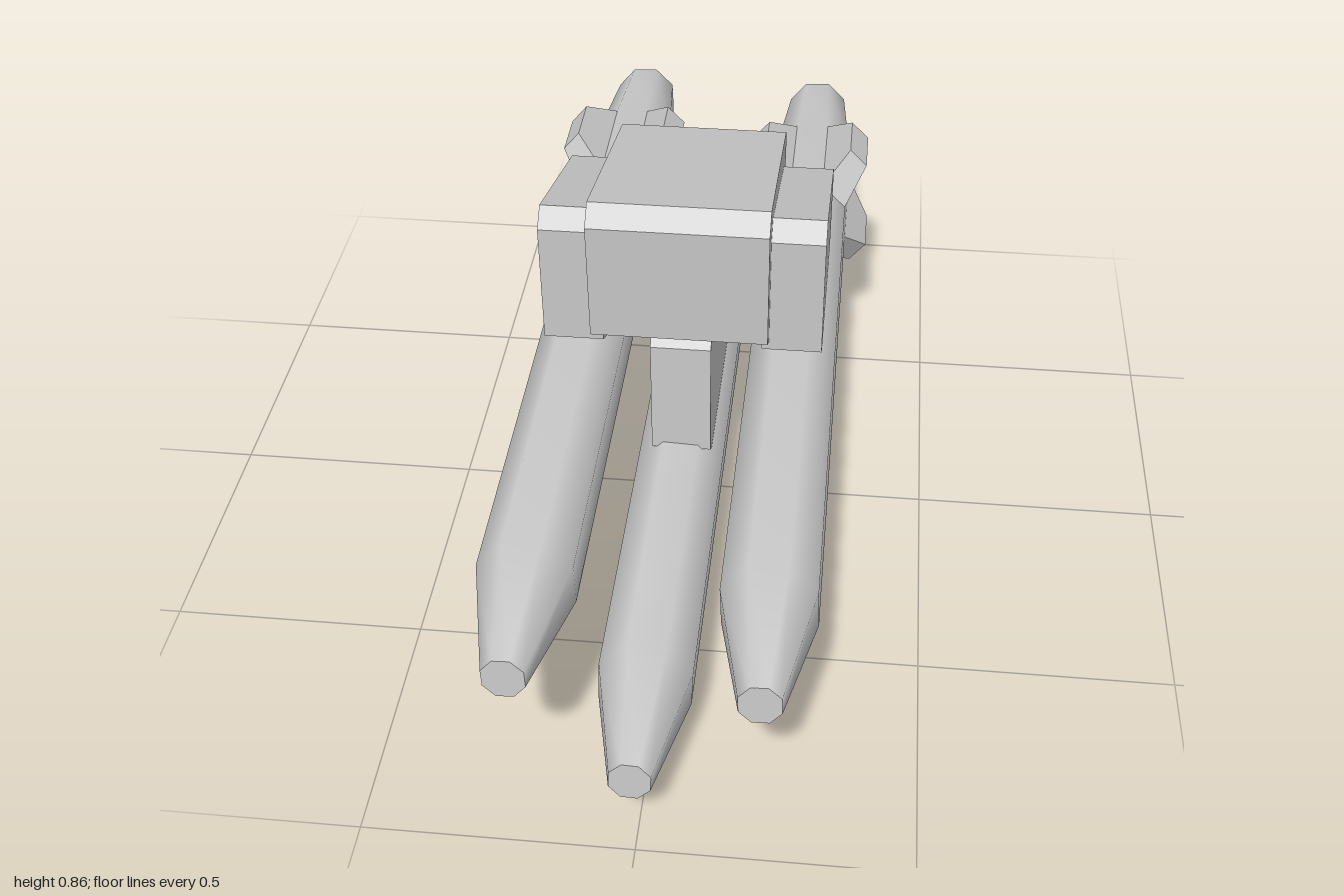
import * as THREE from 'three';
import { toCreasedNormals } from 'three/addons/utils/BufferGeometryUtils.js';

const grey = new THREE.MeshStandardMaterial({ color: 0xcccccc });

function mesh(name, geometry) {
  const m = new THREE.Mesh(geometry, grey);
  m.name = name;
  return m;
}

// Side profile given as [z, y] points, extruded across x
function slab(name, profile, width, x) {
  const shape = new THREE.Shape(profile.map(([z, y]) => new THREE.Vector2(z, y)));
  const g = new THREE.ExtrudeGeometry(shape, { depth: width, bevelEnabled: false });
  g.translate(0, 0, -width / 2).rotateY(-Math.PI / 2).translate(x, 0, 0);
  return mesh(name, g);
}

// Eight-sided tube, tapered at nose and tail, axis along z
function tubeGeometry() {
  const r = 0.104;
  const profile = [[0, -1], [r * 0.76, -1], [r, -0.755], [r, 0.77], [r * 0.43, 1], [0, 1]]
    .map(([x, y]) => new THREE.Vector2(x, y));
  const g = new THREE.LatheGeometry(profile, 8, Math.PI / 8);
  return toCreasedNormals(g.rotateX(Math.PI / 2), 0.95);
}

// Fin pointing up: a box whose outer end is narrowed
function finGeometry() {
  const g = new THREE.BoxGeometry(0.08, 0.09, 0.278);
  const p = g.attributes.position;
  for (let i = 0; i < p.count; i++) {
    if (p.getY(i) > 0) {
      p.setX(i, p.getX(i) * 0.72);
      p.setZ(i, p.getZ(i) * 0.45);
    }
  }
  g.translate(0, 0.135, -0.615);
  g.computeVertexNormals();
  return g;
}

// Tube with four fins; firstFin and roll are in degrees
function missile(name, x, y, firstFin, roll) {
  const outer = new THREE.Group();
  outer.name = name;
  outer.position.set(x, y, 0);
  outer.scale.x = 0.9;
  const inner = new THREE.Group();
  inner.rotation.z = THREE.MathUtils.degToRad(roll);
  inner.add(mesh('tube', tubeGeometry()));
  for (let i = 0; i < 4; i++) {
    const fin = mesh('fin', finGeometry());
    fin.rotation.z = THREE.MathUtils.degToRad(firstFin + i * 90);
    inner.add(fin);
  }
  outer.add(inner);
  return outer;
}

export function createModel() {
  const model = new THREE.Group();
  model.name = 'missileRack';

  // Central housing with a sloping roof
  model.add(slab('housing', [
    [0.257, 0.83], [0.22, 0.866], [-0.273, 0.75], [-0.294, 0.722],
    [-0.267, 0.545], [-0.25, 0.535], [0.19, 0.546], [0.235, 0.572],
  ], 0.345, -0.002));

  // Side mounts
  const side = [
    [0.203, 0.786], [0.168, 0.82], [-0.214, 0.702], [-0.234, 0.68],
    [-0.22, 0.515], [-0.2, 0.491], [0.145, 0.505], [0.188, 0.527],
  ];
  model.add(slab('leftMount', side, 0.118, 0.215));
  model.add(slab('rightMount', side, 0.118, -0.215));

  // Lower pylon
  model.add(slab('lowerPylon', [
    [0.203, 0.525], [0.185, 0.545], [-0.2, 0.545], [-0.22, 0.52],
    [-0.22, 0.275], [-0.205, 0.25], [0.168, 0.25], [0.195, 0.268],
  ], 0.12, -0.002));

  // Missiles
  model.add(missile('leftMissile', 0.215, 0.398, 45, 2.5));
  model.add(missile('rightMissile', -0.215, 0.415, 45, 2.5));
  model.add(missile('lowerMissile', -0.007, 0.183, 0, -2.5));
  return model;
}
